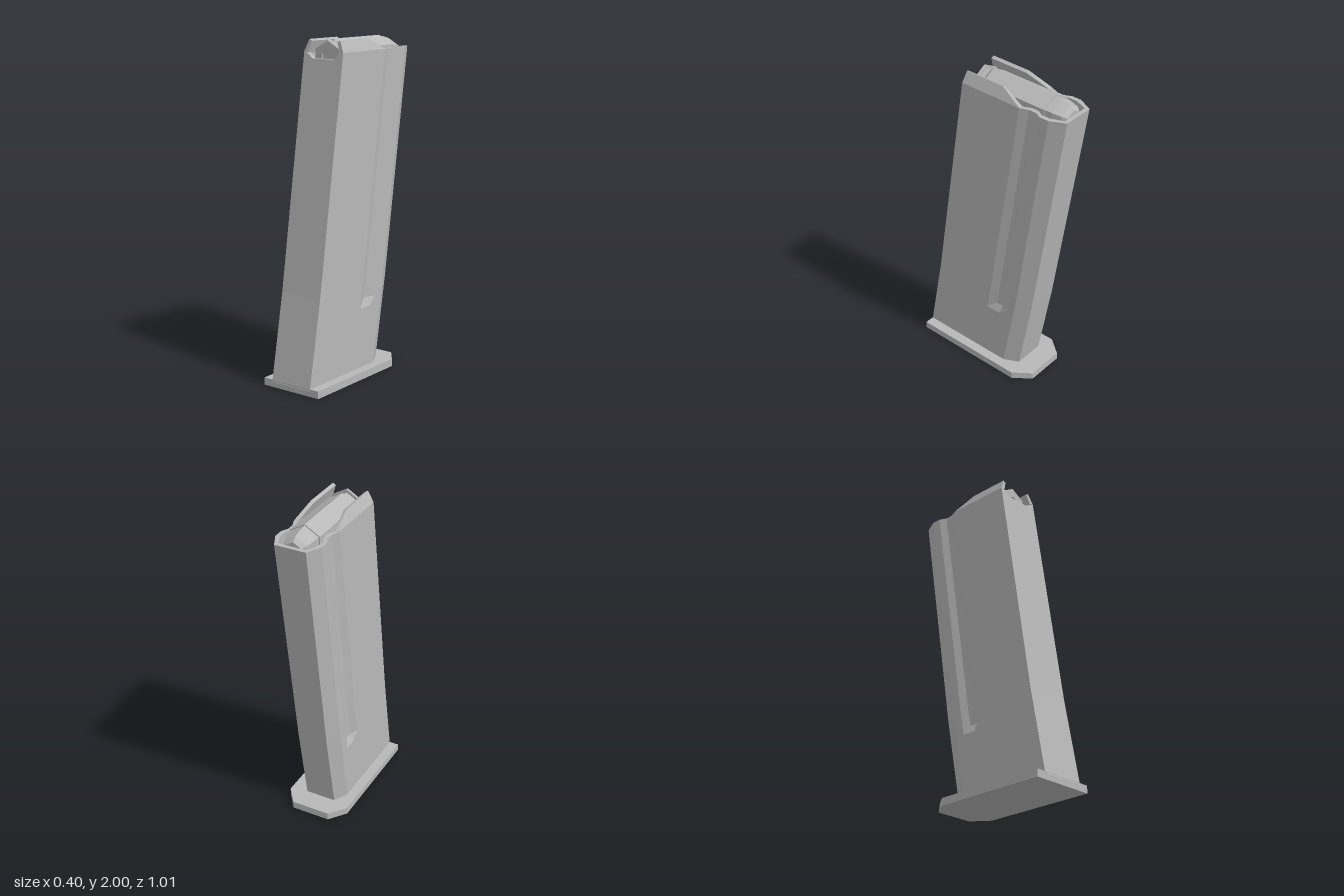
import * as THREE from 'three';

// Forward shift of the raked body at height y (bends slightly near the bottom)
const rake = (y) => 0.157 * (1.93 - Math.max(y, 0.55)) + 0.188 * Math.max(0, 0.55 - y);

// Skin a stack of equal-length closed rings and cap both ends
function loft(rings) {
  const pos = [];
  const tri = (a, b, c) => pos.push(...a, ...b, ...c);
  const n = rings[0].length;
  for (let r = 0; r < rings.length - 1; r++) {
    for (let i = 0; i < n; i++) {
      const j = (i + 1) % n;
      const a = rings[r][i], b = rings[r][j], c = rings[r + 1][j], d = rings[r + 1][i];
      tri(a, b, c);
      tri(a, c, d);
    }
  }
  const cap = (ring, flip) => {
    const mid = [0, 1, 2].map((k) => ring.reduce((s, p) => s + p[k], 0) / n);
    ring.forEach((p, i) => {
      const q = ring[(i + 1) % n];
      flip ? tri(mid, q, p) : tri(mid, p, q);
    });
  };
  cap(rings[0], true);
  cap(rings[rings.length - 1], false);
  const g = new THREE.BufferGeometry();
  g.setAttribute('position', new THREE.Float32BufferAttribute(pos, 3));
  g.computeVertexNormals();
  return g;
}

// Half outline, front to back: outer x, outer z, inner x, inner z, rim height, groove depth
const OUTLINE = [
  [0.075, 0.192, 0.075, 0.165, 1.89, 0],
  [0.1, 0.192, 0.1, 0.165, 1.91, 0],
  [0.14, 0.192, 0.115, 0.165, 1.93, 0],
  [0.14, -0.215, 0.115, -0.22, 1.93, 0],
  [0.14, -0.268, 0.115, -0.268, 1.93, 0.02],
  [0.14, -0.312, 0.115, -0.312, 1.93, 0.02],
  [0.14, -0.355, 0.115, -0.35, 1.93, 0],
  [0.14, -0.415, 0.115, -0.405, 1.93, 0],
  [0.095, -0.505, 0.085, -0.48, 1.93, 0],
];

// Full body ring; y null means follow the rim
function bodyRing(y, inner, grooved) {
  const half = OUTLINE.map(([ox, oz, ix, iz, rim, depth]) => {
    const h = y ?? rim;
    return [(inner ? ix : ox) - (grooved ? depth : 0), h, (inner ? iz : oz) + rake(h)];
  });
  return [...half, ...half.map(([x, h, z]) => [-x, h, z]).reverse()];
}

export function createModel() {
  const model = new THREE.Group();
  const grey = new THREE.MeshStandardMaterial({ color: 0xb8b8b8 });
  grey.name = 'grey metal';
  grey.flatShading = true;
  const add = (name, geometry) => {
    const mesh = new THREE.Mesh(geometry, grey);
    mesh.name = name;
    model.add(mesh);
    return mesh;
  };

  // Base plate with chamfered rear corners
  const plate = new THREE.Shape(
    [[-0.2, -0.505], [0.2, -0.505], [0.2, 0.22], [0.12, 0.325], [-0.12, 0.325], [-0.2, 0.22]]
      .map(([x, y]) => new THREE.Vector2(x, y)));
  add('basePlate', new THREE.ExtrudeGeometry(plate, { depth: 0.045, bevelEnabled: false })
    .rotateX(-Math.PI / 2));

  // Hollow raked body with a groove down each side
  add('body', loft([
    bodyRing(0.03, false, false),
    bodyRing(0.41, false, false),
    bodyRing(0.46, false, true),
    bodyRing(0.55, false, true),
    bodyRing(null, false, true),
    bodyRing(null, true, true),
    bodyRing(1.6, true, true),
  ]));

  // Feed lips folded inward along the top
  const section = [[0.14, 1.93], [0.11, 1.998], [0.092, 1.988], [0.115, 1.92]];
  const tail = [[0.14, 1.93], [0.14, 1.931], [0.115, 1.931], [0.115, 1.92]];
  for (const side of [1, -1]) {
    const ring = (pts, z) => {
      const r = pts.map(([x, y], i) => [side * x, y, z - (z > 0 && (i === 1 || i === 2) ? 0.011 : 0)]);
      return side > 0 ? r : r.reverse();
    };
    add(side > 0 ? 'leftFeedLip' : 'rightFeedLip',
      loft([ring(tail, -0.215), ring(section, -0.075), ring(section, 0.192)]));
  }

  // Six-sided cartridge lying along z: nose, case, extractor groove, rim, recessed primer
  const profile = [
    [0, -0.472], [0.058, -0.472], [0.08, -0.445], [0.094, -0.39], [0.098, -0.345], [0.105, -0.345],
    [0.105, 0.085], [0.086, 0.108], [0.086, 0.135], [0.105, 0.135], [0.105, 0.15], [0.098, 0.157],
    [0.045, 0.157], [0.045, 0.148], [0, 0.148],
  ].map(([r, z]) => new THREE.Vector2(r, z));
  add('cartridge', new THREE.LatheGeometry(profile, 6).rotateX(Math.PI / 2)).position.y = 1.895;

  return model;
}
